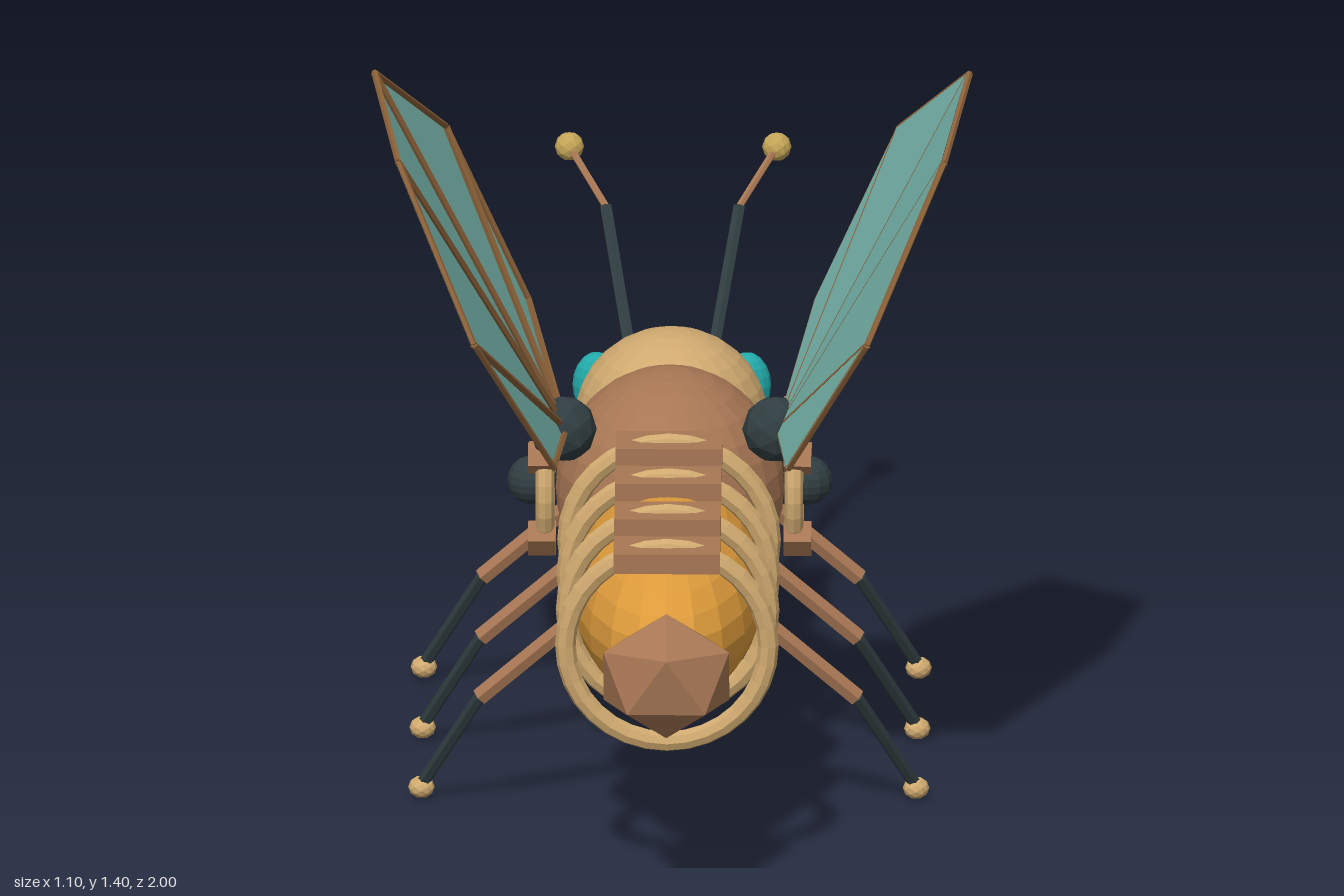
import * as THREE from 'three';

const mat = (name, color, extra = {}) => {
  const m = new THREE.MeshStandardMaterial({ color, flatShading: true, ...extra });
  m.name = name;
  return m;
};

export function createModel() {
  const model = new THREE.Group();
  model.name = 'mechanicalBee';
  const copper = mat('copper', 0xa87754);
  const amber = mat('amber', 0xdc9a3a);
  const brass = mat('brass', 0xcfa96f);
  const gold = mat('gold', 0xc4a557);
  const iron = mat('darkIron', 0x303d40);
  const teal = mat('tealGlass', 0x22a8a8);
  const membrane = mat('wingMembrane', 0x76b5ab, { side: THREE.DoubleSide });
  const veinBrown = mat('veinBrown', 0x8a6038);
  const V = (x, y, z) => new THREE.Vector3(x, y, z);

  const add = (name, geometry, material, x = 0, y = 0, z = 0, parent = model) => {
    const mesh = new THREE.Mesh(geometry, material);
    mesh.name = name;
    mesh.position.set(x, y, z);
    parent.add(mesh);
    return mesh;
  };
  const ellipsoid = (name, m, [x, y, z], [rx, ry, rz], w = 24, h = 16) =>
    add(name, new THREE.SphereGeometry(1, w, h).scale(rx, ry, rz), m, x, y, z);
  // Straight rod between two points
  const rod = (name, a, b, r, m, sides = 6, rEnd = r) => {
    const dir = b.clone().sub(a);
    const mesh = add(name, new THREE.CylinderGeometry(rEnd, r, dir.length(), sides), m);
    mesh.position.copy(a).add(b).multiplyScalar(0.5);
    mesh.quaternion.setFromUnitVectors(V(0, 1, 0), dir.normalize());
    return mesh;
  };

  // Body
  ellipsoid('abdomen', amber, [0, 0.465, 0.42], [0.175, 0.168, 0.435], 20, 14);
  ellipsoid('thorax', copper, [0, 0.49, -0.1], [0.21, 0.22, 0.24]);
  ellipsoid('head', brass, [0, 0.488, -0.485], [0.178, 0.172, 0.172]);
  ellipsoid('facePlate', iron, [0, 0.465, -0.632], [0.135, 0.122, 0.046], 20, 12);

  // Tail gem, one corner pointing up
  const gem = new THREE.IcosahedronGeometry(0.12, 0).rotateX(-1.0172).scale(1.13, 1, 0.75);
  add('tailGem', gem, copper, 0, 0.465, 0.92);

  // Abdomen hoops with their top plates
  for (const z of [0.135, 0.335, 0.54, 0.74]) {
    add('abdomenHoop', new THREE.TorusGeometry(0.186, 0.019, 8, 32), brass, 0, 0.465, z);
    add('hoopPlate', new THREE.BoxGeometry(0.195, 0.038, 0.105), copper, 0, 0.638, z);
  }

  // Wing outline after the root, on the +x side
  const outline = [[0.265, 0.855, -0.09], [0.415, 1.2, -0.05], [0.545, 1.4, 0.235],
    [0.5, 1.3, 0.45], [0.36, 1.02, 0.67], [0.215, 0.705, 0.44]];

  for (const s of [1, -1]) {
    // Eye with a small highlight bead
    ellipsoid('eye', teal, [s * 0.138, 0.51, -0.622], [0.044, 0.062, 0.034], 16, 10);
    ellipsoid('eyeBead', gold, [s * 0.145, 0.525, -0.648], [0.014, 0.016, 0.012], 8, 6);

    // Antenna
    const a = V(s * 0.08, 0.6, -0.615), b = V(s * 0.122, 0.792, -0.805), c = V(s * 0.19, 0.852, -0.973);
    rod('antennaBase', a, b, 0.012, iron);
    rod('antennaTip', b, c, 0.007, copper);
    add('antennaBead', new THREE.IcosahedronGeometry(0.027, 1), gold, c.x, c.y, c.z);

    // Side gear: ring, five teeth and hub
    const gear = new THREE.Group();
    gear.name = 'sideGear';
    gear.position.set(s * 0.228, 0.505, -0.088);
    model.add(gear);
    add('gearRing', new THREE.TorusGeometry(0.123, 0.017, 8, 28).rotateY(Math.PI / 2), brass, 0, 0, 0, gear);
    for (let i = 0; i < 5; i++) {
      const t = i * Math.PI * 2 / 5;
      const tooth = add('gearTooth', new THREE.BoxGeometry(0.05, 0.045, 0.045), copper,
        s * 0.006, Math.sin(t) * 0.132, -Math.cos(t) * 0.132, gear);
      tooth.rotation.x = t;
    }
    add('gearHub', new THREE.SphereGeometry(0.045, 12, 10), iron, s * 0.025, 0, 0, gear);

    // Wing joint and membrane fan
    const root = V(s * 0.195, 0.64, 0.02);
    add('wingJoint', new THREE.IcosahedronGeometry(0.062, 1), iron, root.x, root.y, root.z);
    const pts = outline.map(([x, y, z]) => V(s * x, y, z));
    const tris = [];
    for (let i = 0; i < pts.length - 1; i++) tris.push(root, pts[i], pts[i + 1]);
    const fan = new THREE.BufferGeometry().setFromPoints(tris);
    fan.computeVertexNormals();
    add('wingMembrane', fan, membrane);

    // Veins and rim, set on the same side of both wings
    const shift = V(0.006, 0, 0);
    const ring = [root, ...pts].map(p => p.clone().add(shift));
    ring.forEach((p, i) => {
      rod('wingRim', p, ring[(i + 1) % ring.length], 0.006, veinBrown, 5);
      if (i > 1 && i < ring.length - 1) rod('wingVein', ring[0], p, 0.007, veinBrown, 5);
    });

    // Three legs
    for (const z of [0.345, 0.003, -0.345]) {
      const hip = V(s * 0.165, 0.395, z + 0.024), knee = V(s * 0.345, 0.232, z);
      const foot = V(s * 0.453, 0.025, z - 0.107);
      rod('upperLeg', hip, knee, 0.018, copper);
      rod('lowerLeg', knee, foot, 0.012, iron);
      add('foot', new THREE.IcosahedronGeometry(0.027, 1).scale(0.9, 0.75, 1), brass, foot.x, 0.021, foot.z);
    }
  }
  return model;
}
